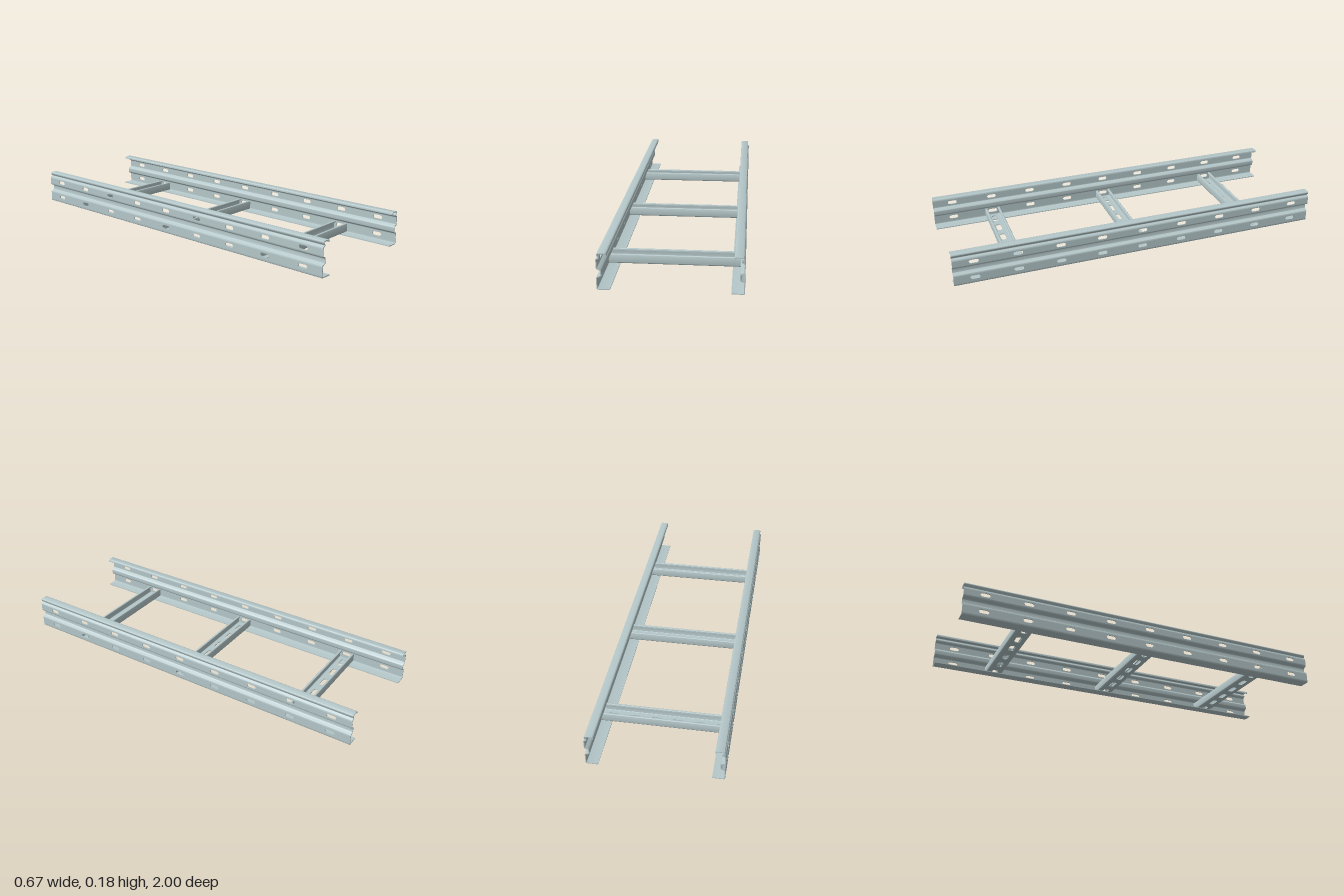
import * as THREE from 'three';
import { toCreasedNormals } from 'three/addons/utils/BufferGeometryUtils.js';

const T = 0.0045; // sheet thickness
const steel = new THREE.MeshStandardMaterial({ color: 0xb5c7c9 });

function addMesh(group, name, geometry) {
  const mesh = new THREE.Mesh(toCreasedNormals(geometry, 0.6), steel);
  mesh.name = name;
  group.add(mesh);
}

// Centre line [x, y] with its inner corners rounded by radius r
function roundPath(points, r) {
  const p = points.map(([x, y]) => new THREE.Vector2(x, y));
  const out = [p[0]];
  for (let i = 1; i < p.length - 1; i++) {
    const near = (q) => {
      const d = q.clone().sub(p[i]);
      return p[i].clone().add(d.setLength(Math.min(r, d.length() * 0.45)));
    };
    out.push(...new THREE.QuadraticBezierCurve(near(p[i - 1]), p[i], near(p[i + 1])).getPoints(6));
  }
  out.push(p[p.length - 1]);
  return out;
}

// Bent sheet: thickened centre line, extruded along z
function bentSheet(points, r, length) {
  const path = roundPath(points, r);
  const offset = (s) => path.map((p, i) => {
    const a = path[Math.max(i - 1, 0)], b = path[Math.min(i + 1, path.length - 1)];
    const d = b.clone().sub(a).normalize();
    return new THREE.Vector2(p.x - d.y * s, p.y + d.x * s);
  });
  const shape = new THREE.Shape([...offset(T / 2), ...offset(-T / 2).reverse()]);
  return new THREE.ExtrudeGeometry(shape, { depth: length, bevelEnabled: false }).translate(0, 0, -length / 2);
}

// Flat sheet with a row of round-ended slots, thickness centred on z
function slottedSheet(length, v0, v1, slotV, spacing, count, slotLength, slotHeight) {
  const l = length / 2;
  const shape = new THREE.Shape([[-l, v0], [l, v0], [l, v1], [-l, v1]].map(([x, y]) => new THREE.Vector2(x, y)));
  const r = slotHeight / 2, h = slotLength / 2 - r;
  for (let i = 0; i < count; i++) {
    const u = (i - (count - 1) / 2) * spacing;
    const hole = new THREE.Path();
    hole.absarc(u + h, slotV, r, -Math.PI / 2, Math.PI / 2, false);
    hole.absarc(u - h, slotV, r, Math.PI / 2, Math.PI * 1.5, false);
    hole.closePath();
    shape.holes.push(hole);
  }
  return new THREE.ExtrudeGeometry(shape, { depth: T, bevelEnabled: false, curveSegments: 8 }).translate(0, 0, -T / 2);
}

function sideRail(side) {
  const rail = new THREE.Group();
  rail.name = side > 0 ? 'leftRail' : 'rightRail';
  const X = 0.3308;
  const bend = (name, points, r) =>
    addMesh(rail, name, bentSheet(points.map(([x, y]) => [side * x, y]), r, 2));
  const web = (name, y0, y1, slotY) =>
    addMesh(rail, name, slottedSheet(2, y0, y1, slotY, 0.223, 9, 0.05, 0.02)
      .rotateY(Math.PI / 2).translate(side * X, 0, 0));

  bend('bottomFlange', [[0.272, T / 2], [X, T / 2], [X, 0.014]], 0.005);
  web('lowerWeb', 0.014, 0.053, 0.034);
  bend('stiffeningRib', [[X, 0.053], [X, 0.059], [0.3115, 0.067], [0.3115, 0.095], [X, 0.103], [X, 0.109]], 0.006);
  web('upperWeb', 0.109, 0.141, 0.126);
  bend('topLip', [[X, 0.141], [X, 0.147], [0.319, 0.153], [0.319, 0.160], [0.326, 0.165],
    [0.326, 0.1755], [0.286, 0.1755], [0.286, 0.164]], 0.006);
  return rail;
}

function rung(z) {
  const group = new THREE.Group();
  group.name = 'rung';
  const length = 0.656, half = 0.041, base = T * 1.5, top = 0.05;
  // Slotted base
  addMesh(group, 'rungBase', slottedSheet(length, -0.03, 0.03, 0, 0.11, 6, 0.066, 0.03)
    .rotateX(Math.PI / 2).translate(0, base, 0));
  // Walls with inward lips
  for (const s of [-1, 1]) {
    const profile = [[0.03, base], [half, base], [half, top], [0.0315, top], [0.0315, top - 0.007]];
    addMesh(group, 'rungWall', bentSheet(profile.map(([u, y]) => [s * u, y]), 0.007, length).rotateY(Math.PI / 2));
  }
  group.position.z = z;
  return group;
}

export function createModel() {
  const ladder = new THREE.Group();
  ladder.name = 'cableLadder';
  ladder.add(sideRail(1), sideRail(-1));
  for (const z of [-0.669, 0, 0.669]) ladder.add(rung(z));
  return ladder;
}
